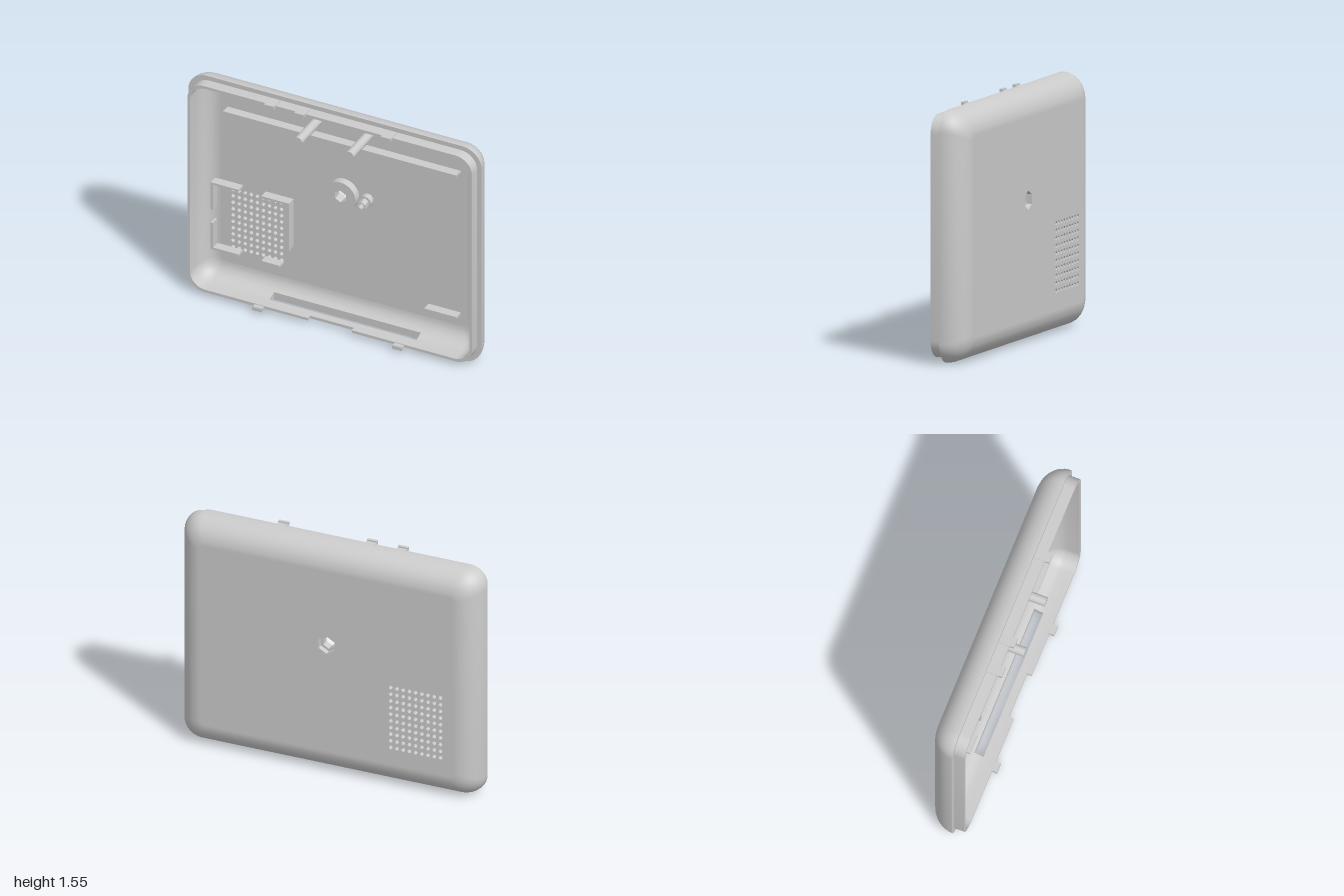
import * as THREE from 'three';
import { toCreasedNormals } from 'three/addons/utils/BufferGeometryUtils.js';

const W = 1, H = 0.7775, BACK = -0.16, FLOOR = -0.125, LIP = 0.07;
const mat = new THREE.MeshStandardMaterial({ color: 0xcccccc, side: THREE.DoubleSide });

// openings in the bottom wall: x range and z range
const cutouts = [
  { x0: -0.45, x1: 0.55, z0: -0.07, z1: -0.01 },
  { x0: -0.15, x1: 0.15, z0: 0.04, z1: LIP },
];

// inset of the outer and inner wall at a given z
const outerInset = (z) => (z > 0 ? 0.03 : 0.155 * (1 - Math.sqrt(1 - (z / BACK) ** 2)));
const innerInset = (z) => 0.048 + (z >= 0 ? 0 : 0.107 * (1 - Math.sqrt(1 - (z / FLOOR) ** 2)));

// rounded rectangle, counter-clockwise seen from the front
function outline(inset) {
  const r = Math.max(0.13 - 0.6 * inset, 0.03), w = W - inset - r, h = H - inset - r;
  const pts = [-0.45, -0.15, 0.15, 0.55].map((x) => [x, H - (H + h + r)]);
  [[w, -h], [w, h], [-w, h], [-w, -h]].forEach(([cx, cy], k) => {
    for (let i = 0; i <= 8; i++) {
      const a = (k - 1 + i / 8) * Math.PI / 2;
      pts.push([cx + r * Math.cos(a), cy + r * Math.sin(a)]);
    }
  });
  return pts.map(([x, y]) => new THREE.Vector2(x, y + H));
}

function add(group, name, geometry, x = 0, y = 0, z = 0) {
  const mesh = new THREE.Mesh(geometry, mat);
  mesh.name = name;
  mesh.position.set(x, y, z);
  group.add(mesh);
  return mesh;
}

function quadGeometry(quads) {
  const pos = [];
  for (const [a, b, c, d] of quads) for (const p of [a, b, c, a, c, d]) pos.push(...p);
  const g = new THREE.BufferGeometry();
  g.setAttribute('position', new THREE.Float32BufferAttribute(pos, 3));
  return g;
}

// curved wall: outer fillet, step, lip, then the inner wall back to the floor
function wallGeometry() {
  const outer = [BACK, -0.1595, -0.158, -0.15, -0.138, -0.12, -0.095, -0.07, -0.04, -0.01, 0];
  const inner = [LIP, 0.04, 0, -0.01, -0.04, -0.07, -0.09, -0.105, -0.117, -0.123, FLOOR];
  const profile = [
    ...outer.map((z) => [outerInset(z), z]),
    [0.03, 0], [0.03, 0.04], [0.03, LIP],
    ...inner.map((z) => [innerInset(z), z]),
  ];
  const rows = profile.map(([d, z]) => outline(d).map((p) => [p.x, p.y, z]));
  const quads = [];
  for (let i = 0; i < rows.length - 1; i++) {
    const n = rows[i].length, zm = (profile[i][1] + profile[i + 1][1]) / 2;
    for (let j = 0; j < n; j++) {
      const k = (j + 1) % n, xm = (rows[i][j][0] + rows[i][k][0]) / 2;
      const open = j < 3 && cutouts.some((c) => xm > c.x0 && xm < c.x1 && zm > c.z0 && zm <= c.z1);
      if (!open) quads.push([rows[i][j], rows[i][k], rows[i + 1][k], rows[i + 1][j]]);
    }
  }
  // linings of the openings
  for (const { x0, x1, z0, z1 } of cutouts) {
    const o = (x, z) => [x, outerInset(z), z], n = (x, z) => [x, innerInset(z), z];
    quads.push([o(x0, z0), o(x0, z1), n(x0, z1), n(x0, z0)]);
    quads.push([o(x1, z1), o(x1, z0), n(x1, z0), n(x1, z1)]);
    quads.push([o(x0, z0), n(x0, z0), n(x1, z0), o(x1, z0)].reverse());
    if (z1 < LIP) quads.push([o(x0, z1), n(x0, z1), n(x1, z1), o(x1, z1)]);
  }
  return toCreasedNormals(quadGeometry(quads), 0.6);
}

function polygon(x, y, r, sides) {
  const pts = [];
  for (let i = 0; i < sides; i++) {
    const a = Math.PI / 2 + (i / sides) * Math.PI * 2;
    pts.push(new THREE.Vector2(x + r * Math.cos(a), y + r * Math.sin(a)));
  }
  return pts;
}

function extrude(points, holes, depth) {
  const shape = new THREE.Shape(points);
  shape.holes = holes.map((h) => new THREE.Path(h));
  return toCreasedNormals(new THREE.ExtrudeGeometry(shape, { depth, bevelEnabled: false }), 0.6);
}

export function createModel() {
  const model = new THREE.Group();
  model.name = 'backCover';

  add(model, 'curvedWall', wallGeometry());

  // back plate with vent grid and central hexagonal hole
  const holes = [polygon(0, 0.89, 0.06, 6)];
  for (let i = 0; i < 9; i++)
    for (let j = 0; j < 10; j++)
      holes.push(polygon(-0.757 + i * 0.0413, 0.275 + j * 0.0461, 0.0135, 8));
  add(model, 'backPlate', extrude(outline(0.155), holes, FLOOR - BACK), 0, 0, BACK);

  // central boss and the small hollow peg beside it
  add(model, 'centreBoss', extrude(polygon(0, 0, 0.102, 40), [polygon(0, 0, 0.042, 6)], 0.05), 0, 0.89, FLOOR);
  add(model, 'pegBase', extrude(polygon(0, 0, 0.042, 12), [polygon(0, 0, 0.018, 12)], 0.04), 0.16, 0.89, FLOOR);
  add(model, 'peg', extrude(polygon(0, 0, 0.03, 6), [polygon(0, 0, 0.018, 12)], 0.09), 0.16, 0.89, FLOOR);

  // long posts
  for (const s of [-1, 1]) {
    const post = add(model, 'post', new THREE.CylinderGeometry(0.03, 0.03, 0.28, 24), s * 0.175, 1.37, 0.015);
    post.rotation.x = Math.PI / 2;
  }

  // ribs on the floor: x0, x1, y0, y1
  const rib = (name, x0, x1, y0, y1, depth = 0.06) =>
    add(model, name, new THREE.BoxGeometry(x1 - x0, y1 - y0, depth),
      (x0 + x1) / 2, (y0 + y1) / 2, FLOOR + depth / 2);
  rib('longRib', -0.795, 0.795, 1.267, 1.282);
  rib('shortRib', 0.575, 0.795, 0.238, 0.253);
  rib('ventFrame', -0.88, -0.69, 0.727, 0.742);
  rib('ventFrame', -0.88, -0.865, 0.545, 0.742);
  rib('ventFrame', -0.88, -0.865, 0.257, 0.45);
  rib('ventFrame', -0.88, -0.69, 0.257, 0.272);
  rib('ventFrame', -0.535, -0.345, 0.727, 0.742);
  rib('ventFrame', -0.36, -0.345, 0.4, 0.742);
  rib('ventFrame', -0.535, -0.41, 0.257, 0.272);

  // snap tabs: a tongue along the lip with a small hook at its tip
  const tab = (x, y, out) => {
    add(model, 'snapTab', new THREE.BoxGeometry(0.065, 0.016, 0.095), x, y, 0.0525);
    add(model, 'snapHook', new THREE.BoxGeometry(0.065, 0.02, 0.02), x, y + out * 0.006, 0.093);
  };
  for (const x of [-0.4, -0.195, 0.395]) tab(x, 1.521, 1);
  for (const x of [-0.48, 0.475]) tab(x, 0.036, -1);

  return model;
}
